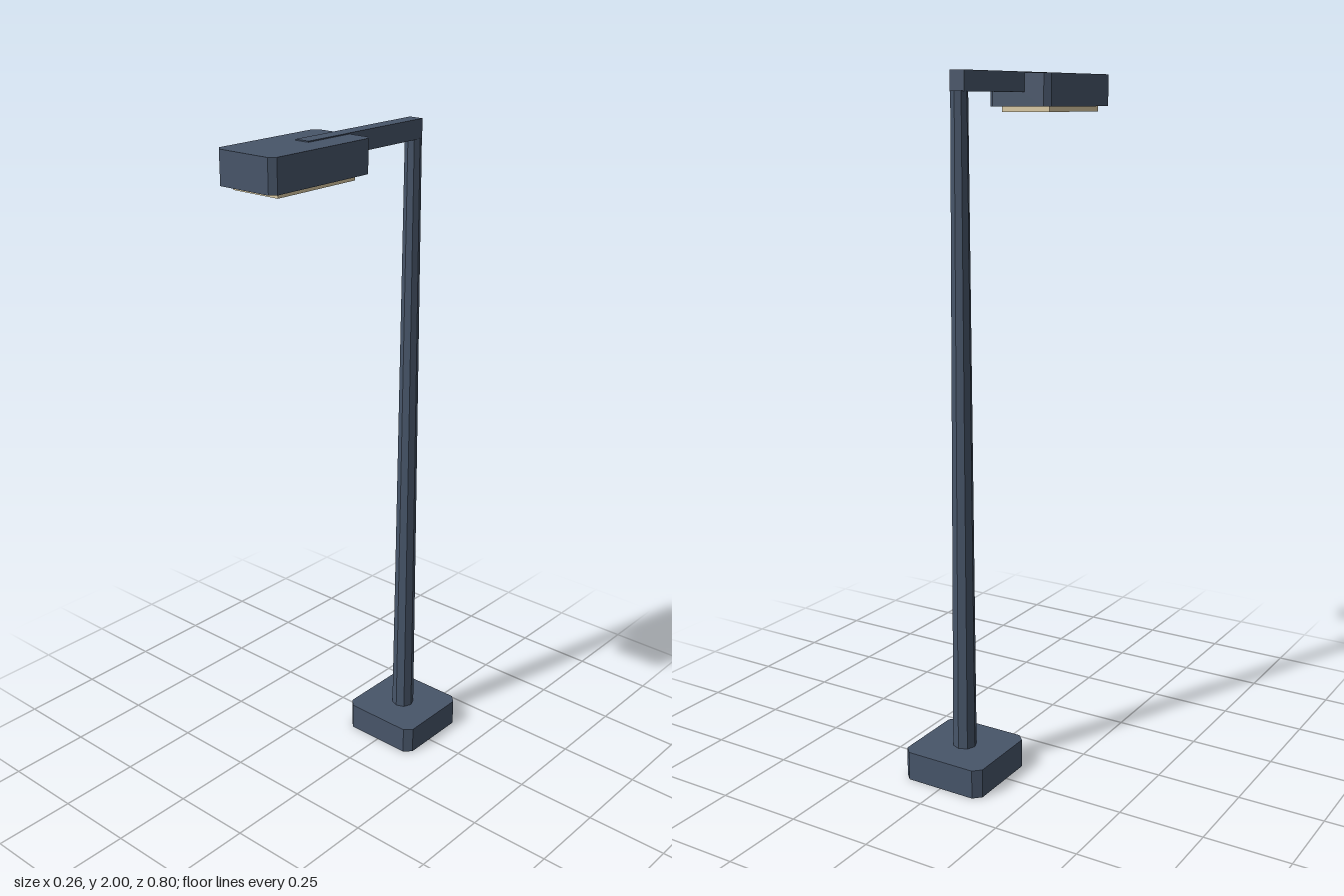
import * as THREE from 'three';

const paint = new THREE.MeshStandardMaterial({ color: 0x475569 });
paint.name = 'slate paint';
const glow = new THREE.MeshStandardMaterial({ color: 0xd9c9a3 });
glow.name = 'warm lens';

// Upright slab with chamfered vertical corners
function chamferedSlab(width, depth, height, cut) {
  const x = width / 2, z = depth / 2;
  const outline = new THREE.Shape([
    [x - cut, -z], [x, -z + cut], [x, z - cut], [x - cut, z],
    [-x + cut, z], [-x, z - cut], [-x, -z + cut], [-x + cut, -z],
  ].map(([a, b]) => new THREE.Vector2(a, b)));
  return new THREE.ExtrudeGeometry(outline, { depth: height, bevelEnabled: false })
    .rotateX(-Math.PI / 2);
}

export function createModel() {
  const group = new THREE.Group();
  group.name = 'streetLamp';

  const add = (name, geometry, material, x, y, z) => {
    const mesh = new THREE.Mesh(geometry, material);
    mesh.name = name;
    mesh.position.set(x, y, z);
    group.add(mesh);
  };

  // Foot and tapered eight-sided pole
  add('base', chamferedSlab(0.26, 0.26, 0.085, 0.022), paint, 0, 0, -0.27);
  const poleBottom = 0.08, poleTop = 1.947;
  const pole = new THREE.CylinderGeometry(0.024, 0.035, poleTop - poleBottom, 8).toNonIndexed();
  pole.computeVertexNormals();
  add('pole', pole, paint, 0, (poleBottom + poleTop) / 2, -0.27);

  // Arm reaching forward, just proud of the lamp head's top
  add('arm', new THREE.BoxGeometry(0.045, 0.055, 0.467), paint, 0, 1.9725, -0.0475);

  // Lamp head with the light panel beneath
  add('lampHead', chamferedSlab(0.2, 0.372, 0.092, 0.016), paint, 0, 1.905, 0.212);
  add('lens', new THREE.BoxGeometry(0.156, 0.02, 0.29), glow, 0, 1.9, 0.214);

  return group;
}
